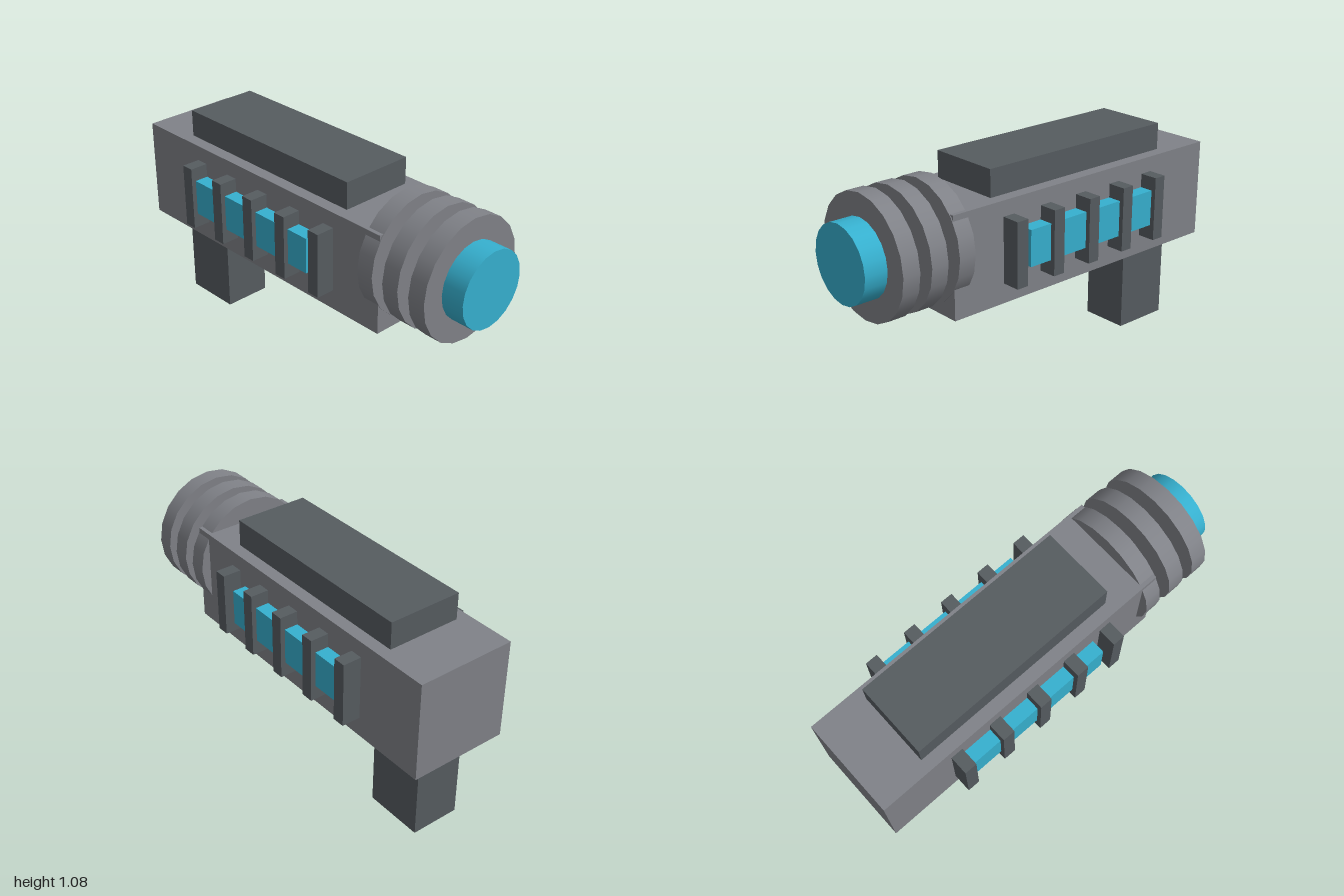
import * as THREE from 'three';

export function createModel() {
  const model = new THREE.Group();
  model.name = 'blaster';

  const material = (name, color) => {
    const m = new THREE.MeshStandardMaterial({ color });
    m.name = name;
    return m;
  };
  const grey = material('bodyGrey', 0x808288);
  const dark = material('darkGrey', 0x565c60);
  const cyan = material('glowCyan', 0x36b0cf);

  const add = (name, geometry, mat, x, y, z) => {
    const mesh = new THREE.Mesh(geometry, mat);
    mesh.name = name;
    mesh.position.set(x, y, z);
    model.add(mesh);
  };
  // Box given by its limits along each axis
  const box = (name, mat, x0, x1, y0, y1, z0, z1) =>
    add(name, new THREE.BoxGeometry(x1 - x0, y1 - y0, z1 - z0), mat,
      (x0 + x1) / 2, (y0 + y1) / 2, (z0 + z1) / 2);
  // Smooth 20-sided cylinder lying along x
  const barrel = (name, mat, x0, x1, radius, y) =>
    add(name, new THREE.CylinderGeometry(radius, radius, x1 - x0, 20).rotateZ(-Math.PI / 2),
      mat, (x0 + x1) / 2, y, 0);

  // Main block, top rail and grip
  box('body', grey, -1, 0.59, 0.456, 0.945, -0.245, 0.245);
  box('topRail', dark, -0.743, 0.332, 0.94, 1.077, -0.184, 0.184);
  box('grip', dark, -0.89, -0.597, 0, 0.46, -0.122, 0.122);

  // Glowing side bars crossed by five ribs, on both sides
  for (const side of [-1, 1]) {
    const z = (a, b) => (side > 0 ? [a, b] : [-b, -a]);
    const label = side > 0 ? 'front' : 'back';
    box(label + 'EnergyBar', cyan, -0.6, 0.21, 0.625, 0.802, ...z(0.24, 0.314));
    for (let i = 0; i < 5; i++) {
      const x = -0.601 + i * 0.22;
      box(label + 'Rib' + (i + 1), dark, x - 0.031, x + 0.031, 0.553, 0.87, ...z(0.24, 0.337));
    }
  }

  // Muzzle: three rings on a core, tipped by a glowing lens
  for (let i = 0; i < 3; i++) {
    const x = 0.508 + i * 0.147;
    barrel('muzzleRing' + (i + 1), grey, x, x + 0.086, 0.293, 0.761);
  }
  barrel('muzzleCore', grey, 0.55, 0.83, 0.086, 0.813);
  barrel('muzzleLens', cyan, 0.86, 1, 0.184, 0.761);

  return model;
}
